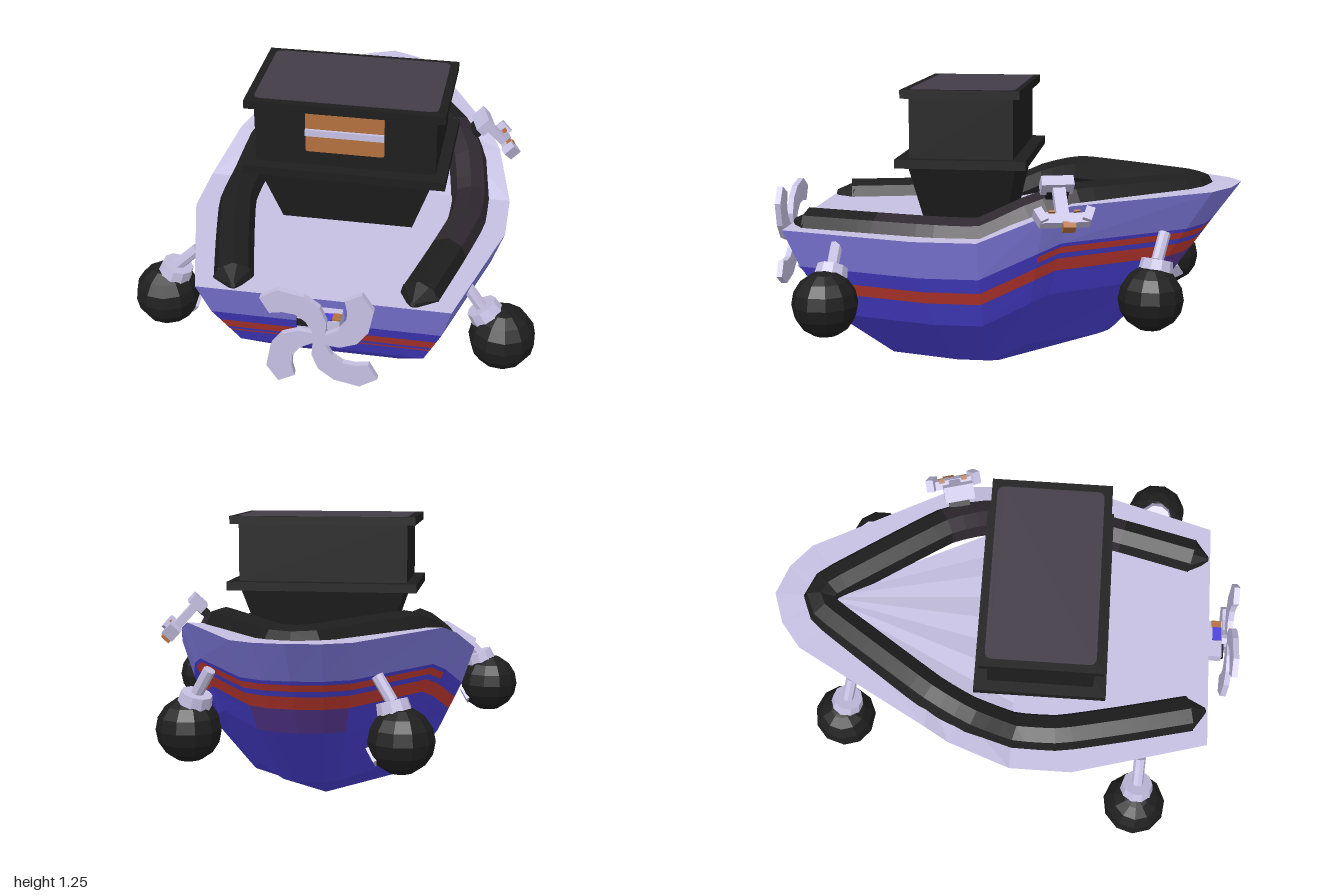
import * as THREE from 'three';

const mat = (name, color, double) => {
  const m = new THREE.MeshStandardMaterial({ color, flatShading: true });
  m.name = name;
  if (double) m.side = THREE.DoubleSide;
  return m;
};
const V = (x, y, z) => new THREE.Vector3(x, y, z);

export function createModel() {
  const blue = mat('hullBlue', 0x4b42da);
  const violet = mat('upperViolet', 0x8882ec);
  const red = mat('stripeRed', 0xcb3c33);
  const plum = mat('bowPlum', 0x5f3c9c);
  const pale = mat('paleLavender', 0xc6c0e2, true);
  const black = mat('rubberBlack', 0x1e1e1e);
  const dusk = mat('fenderMauve', 0x2e272f);
  const mauve = mat('roofMauve', 0x433c47);
  const orange = mat('windowOrange', 0xb3703f);

  const boat = new THREE.Group();
  boat.name = 'boat';
  const CX = 0.013;

  const add = (name, geo, material, x = 0, y = 0, z = 0, parent = boat) => {
    const m = new THREE.Mesh(geo, material);
    m.name = name;
    m.position.set(x, y, z);
    parent.add(m);
    return m;
  };
  const box = (name, m, w, h, d, x, y, z, parent) =>
    add(name, new THREE.BoxGeometry(w, h, d), m, x, y, z, parent);
  const rod = (name, m, a, b, r0, r1 = r0, sides = 8) => {
    const r = add(name, new THREE.CylinderGeometry(r1, r0, a.distanceTo(b), sides), m);
    r.position.copy(a).add(b).multiplyScalar(0.5);
    r.quaternion.setFromUnitVectors(V(0, 1, 0), b.clone().sub(a).normalize());
  };

  // Half outline of the rim from stern to bow: x, z, rise of the sheer
  const outline = [[0.5, 0.88, 0], [0.658, 0.31, 0], [0.658, 0.05, 0], [0.59, -0.21, 0.1],
    [0.54, -0.31, 0.135], [0.235, -0.87, 0.15], [0.13, -0.955, 0.155], [0, -1, 0.16]];
  // Hull levels: height, half width, stern z, bow z, share of the sheer
  const keys = [[0, 0, 0.05, 0.05, 0], [0.1, 0.325, 0.476, -0.465, 0.5], [0.3, 0.5, 0.7, -0.72, 0.9],
    [0.52, 0.605, 0.82, -0.885, 1], [0.68, 0.658, 0.88, -1, 1]];
  const level = y => {
    let k = 1;
    while (k < keys.length - 1 && keys[k][0] < y) k++;
    const t = (y - keys[k - 1][0]) / (keys[k][0] - keys[k - 1][0]);
    return keys[k].map((v, i) => keys[k - 1][i] + (v - keys[k - 1][i]) * t);
  };
  const mirrored = p => V(2 * CX - p.x, p.y, p.z);
  const ring = y => {
    const [, hw, zs, zb, share] = level(y);
    const half = outline.map(([x, z, rise]) => V(CX + x * hw / 0.658, y + rise * share,
      z > 0.05 ? 0.05 + (z - 0.05) * (zs - 0.05) / 0.83 : 0.05 + (z - 0.05) * (zb - 0.05) / -1.05));
    return [...half, ...half.slice(0, -1).reverse().map(mirrored)];
  };

  // Hull skin, sorted into one mesh per colour
  const skins = new Map([[blue, []], [violet, []], [red, []], [plum, []], [pale, []]]);
  const tri = (m, ...ps) => ps.forEach(p => skins.get(m).push(p.x, p.y, p.z));
  const heights = [0, 0.1, 0.3, 0.374, 0.385, 0.403, 0.456, 0.478, 0.505, 0.52, 0.68];
  const rings = heights.map(ring);
  const n = rings[0].length;
  for (let k = 0; k < heights.length - 1; k++) {
    for (let i = 0; i < n; i++) {
      const j = (i + 1) % n;
      const transom = i === n - 1;
      const forward = i >= 3 && i < n - 4;
      const bow = i >= 5 && i <= 8;
      let m = blue;
      if (bow && k >= 2 && k <= 4) m = plum;
      if (k === 9) m = violet;
      if (k === 5 || (k === 3 && transom) || (k === 7 && forward)) m = red;
      const [a, b] = [rings[k], rings[k + 1]];
      if (k > 0) tri(m, a[i], a[j], b[j]);
      tri(m, a[i], b[j], b[i]);
    }
  }

  // Deck: flat aft part, side margins under the fender, ridged slope in the bow
  const rim = rings[rings.length - 1];
  for (let i = 0; i < 2; i++) {
    tri(pale, rim[i], rim[i + 1], rim[n - 1 - i]);
    tri(pale, rim[n - 1 - i], rim[i + 1], rim[n - 2 - i]);
  }
  const inner = [[0.49, 0.68, 0.05], [0.455, 0.78, -0.17], [0.38, 0.81, -0.31],
    [0.1, 0.825, -0.73], [0.05, 0.83, -0.78], [0, 0.83, -0.8]].map(([x, y, z]) => V(CX + x, y, z));
  for (let i = 0; i < inner.length - 1; i++) {
    const quad = [rim[i + 2], rim[i + 3], inner[i + 1], inner[i]];
    for (const [a, b, c, d] of [quad, quad.map(mirrored)]) {
      tri(pale, a, b, c);
      tri(pale, a, c, d);
    }
  }
  const tip = V(CX, 0.83, -0.8);
  const foot = i => V(CX - 0.49 + i * 0.98 / 8, i % 2 ? 0.665 : 0.68, 0.05);
  for (let i = 0; i < 8; i++) tri(pale, foot(i), foot(i + 1), tip);

  const skinNames = ['hull', 'upperStrake', 'hullStripes', 'bowPatch', 'deck'];
  [...skins].forEach(([m, pos], i) => {
    const g = new THREE.BufferGeometry();
    g.setAttribute('position', new THREE.Float32BufferAttribute(pos, 3));
    g.computeVertexNormals();
    add(skinNames[i], g, m);
  });

  // Rubber fender around the deck, with one tinted stretch
  const side = [[0.365, 0.67, 0.8], [0.43, 0.67, 0.53], [0.49, 0.67, 0.25], [0.49, 0.67, 0.05],
    [0.455, 0.755, -0.14], [0.378, 0.8, -0.31], [0.07, 0.8, -0.77]];
  const path = [...side.map(([x, y, z]) => V(CX + x, y, z)), V(CX, 0.8, -0.81),
    ...side.slice().reverse().map(([x, y, z]) => V(CX - x, y, z))];
  const curve = new THREE.CatmullRomCurve3(path, false, 'catmullrom', 0.2);
  const tube = new THREE.TubeGeometry(curve, 56, 0.083, 8);
  [[0, 5, 0], [5, 18, 1], [18, 56, 0]].forEach(([a, b, m]) => tube.addGroup(a * 48, (b - a) * 48, m));
  add('fender', tube, [black, dusk]);
  for (const s of [1, -1]) {
    rod('fenderTip', black, V(CX + s * 0.365, 0.67, 0.8), V(CX + s * 0.35, 0.695, 0.868), 0.083, 0.01);
  }

  // Cabin with tapered base, two ledges and an inset roof
  const base = new THREE.BoxGeometry(0.72, 0.3, 0.45);
  const bp = base.attributes.position;
  for (let i = 0; i < bp.count; i++) {
    if (bp.getY(i) < 0) {
      bp.setX(i, bp.getX(i) * 0.72);
      bp.setZ(i, bp.getZ(i) * 0.72);
    }
  }
  add('cabinBase', base, black, CX, 0.79, 0.155);
  box('lowerLedge', black, 0.825, 0.037, 0.54, CX, 0.95, 0.155);
  box('cabin', black, 0.735, 0.26, 0.43, CX, 1.095, 0.155);
  box('roofLedge', black, 0.805, 0.035, 0.49, CX, 1.234, 0.155);
  const plate = (w, h, r, depth) => {
    const s = new THREE.Shape();
    const [x, y] = [w / 2, h / 2];
    s.moveTo(-x + r, -y).lineTo(x - r, -y).quadraticCurveTo(x, -y, x, -y + r);
    s.lineTo(x, y - r).quadraticCurveTo(x, y, x - r, y);
    s.lineTo(-x + r, y).quadraticCurveTo(-x, y, -x, y - r);
    s.lineTo(-x, -y + r).quadraticCurveTo(-x, -y, -x + r, -y);
    return new THREE.ExtrudeGeometry(s, { depth, bevelEnabled: false, curveSegments: 4 });
  };
  add('roofPanel', plate(0.74, 0.435, 0.03, 0.005).rotateX(-Math.PI / 2), mauve, CX, 1.249, 0.15);
  add('window', plate(0.32, 0.175, 0.01, 0.004), orange, CX, 1.118, 0.369);
  box('windowBar', pale, 0.32, 0.028, 0.014, CX, 1.12, 0.378);

  // Stern propeller with four curved blades
  const propeller = new THREE.Group();
  propeller.name = 'propeller';
  propeller.position.set(0.025, 0.58, 0.97);
  boat.add(propeller);
  const blade = new THREE.Shape([[-0.225, 0.165], [-0.155, 0.21], [-0.055, 0.19], [0.005, 0.145],
    [0.03, 0.08], [0.022, -0.01], [-0.02, 0.005], [-0.025, 0.03], [-0.05, 0.075], [-0.09, 0.105],
    [-0.14, 0.11], [-0.19, 0.1]].reverse().map(([x, y]) => new THREE.Vector2(x, y)));
  const bladeGeo = new THREE.ExtrudeGeometry(blade, { depth: 0.025, bevelEnabled: false });
  for (let i = 0; i < 4; i++) add('blade', bladeGeo, pale, 0, 0, 0, propeller).rotation.z = i * Math.PI / 2;
  box('propellerMount', pale, 0.165, 0.06, 0.14, 0.013, 0.6, 0.875);
  box('mountBadgeBlue', blue, 0.06, 0.008, 0.04, 0.035, 0.632, 0.922);
  box('mountBadgeOrange', orange, 0.03, 0.008, 0.04, 0.08, 0.632, 0.918);
  box('mountPlug', black, 0.06, 0.03, 0.008, -0.04, 0.615, 0.947);
  rod('propellerShaft', pale, V(0.025, 0.58, 0.85), V(0.025, 0.58, 0.99), 0.03);

  // Hanging ball buoys: ball centre, cap direction point, end of arm
  const buoys = [
    [V(0.7, 0.425, 0.655), V(0.605, 0.56, 0.645), V(0.545, 0.645, 0.64)],
    [V(-0.7, 0.425, 0.6), V(-0.65, 0.56, 0.6), V(-0.555, 0.66, 0.6)],
    [V(0.47, 0.43, -0.63), V(0.435, 0.56, -0.65), V(0.37, 0.68, -0.68)],
    [V(-0.39, 0.425, -0.7), V(-0.355, 0.56, -0.68), V(-0.29, 0.67, -0.655)],
  ];
  for (const [c, cap, end] of buoys) {
    add('buoy', new THREE.SphereGeometry(0.134, 11, 8), black).position.copy(c);
    const dir = cap.clone().sub(c).normalize();
    const at = d => c.clone().addScaledVector(dir, d);
    rod('buoyCap', pale, at(0.11), at(0.158), 0.07, 0.064, 10);
    rod('buoyArm', pale, at(0.155), end, 0.025);
    if (c.x < 0) { // small inner fitting
      const d = V(0.85, -0.47, -0.2).normalize();
      rod('buoyFitting', pale, c.clone().addScaledVector(d, 0.1),
        c.clone().addScaledVector(d, 0.136), 0.045, 0.045, 4);
    }
  }

  // Anchor hung over one rail
  const anchor = new THREE.Group();
  anchor.name = 'anchor';
  anchor.position.set(0.57, 0.835, -0.275);
  anchor.rotation.set(0, 0.27, 0.75, 'YZX');
  boat.add(anchor);
  box('anchorStock', pale, 0.07, 0.045, 0.13, 0, 0.08, 0.01, anchor);
  box('anchorShank', pale, 0.035, 0.18, 0.05, 0, 0, 0.005, anchor);
  box('anchorCrown', pale, 0.04, 0.045, 0.2, 0, -0.085, 0, anchor);
  for (const s of [1, -1]) {
    box('anchorFluke', pale, 0.055, 0.06, 0.035, 0.01, -0.075, s * 0.095, anchor).rotation.x = s * 0.4;
    box('anchorRivet', orange, 0.02, 0.008, 0.025, 0.021, -0.06, s * 0.05, anchor);
  }
  box('anchorPin', orange, 0.04, 0.03, 0.05, 0, -0.115, -0.015, anchor);
  box('anchorPad', black, 0.05, 0.03, 0.09, -0.04, 0.07, 0.005, anchor);

  return boat;
}
